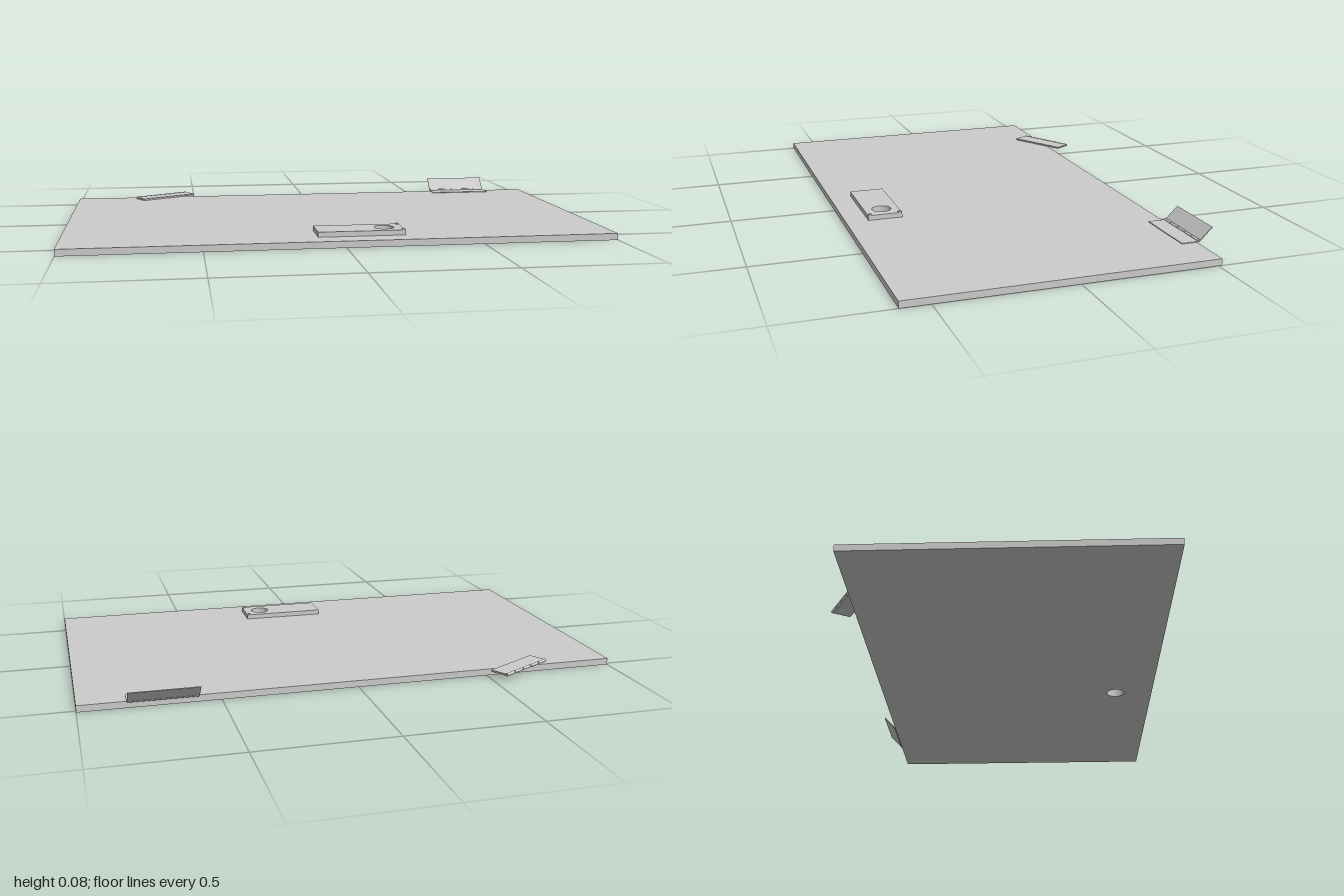
import * as THREE from 'three';

const material = new THREE.MeshStandardMaterial({ color: 0xcccccc, side: THREE.DoubleSide });
const TOP = 0.0245; // upper surface of the board
const HOLE = { x: 0.163, z: 0.456, r: 0.036 };

function add(parent, name, geometry, x = 0, y = 0, z = 0) {
  const mesh = new THREE.Mesh(geometry, material);
  mesh.name = name;
  mesh.position.set(x, y, z);
  parent.add(mesh);
  return mesh;
}

// Flat slab lying in xz, with the round hole cut through it
function drilledSlab(x0, x1, z0, z1, thickness) {
  const shape = new THREE.Shape();
  shape.moveTo(x0, -z1).lineTo(x1, -z1).lineTo(x1, -z0).lineTo(x0, -z0).closePath();
  shape.holes.push(new THREE.Path().absarc(HOLE.x, -HOLE.z, HOLE.r, 0, Math.PI * 2, true));
  return new THREE.ExtrudeGeometry(shape, { depth: thickness, bevelEnabled: false, curveSegments: 24 })
    .rotateX(-Math.PI / 2);
}

// Butt hinge: pin along x, fixed leaf towards +z, moving leaf opened by an angle
function createHinge(name, openAngle) {
  const hinge = new THREE.Group();
  hinge.name = name;
  const length = 0.25, width = 0.068, thick = 0.003, radius = 0.0055;
  add(hinge, 'fixedLeaf', new THREE.BoxGeometry(length, thick, width), 0, -0.002, width / 2);

  const moving = new THREE.Group();
  moving.name = 'movingLeafPivot';
  moving.rotation.x = -openAngle;
  hinge.add(moving);
  add(moving, 'movingLeaf', new THREE.BoxGeometry(length, thick, width), 0, 0.002, width / 2);

  // Alternating knuckles around the pin
  const count = 5, pitch = length / count;
  for (let i = 0; i < count; i++) {
    const knuckle = new THREE.CylinderGeometry(radius, radius, pitch - 0.004, 16).rotateZ(Math.PI / 2);
    add(i % 2 ? moving : hinge, 'knuckle', knuckle, (i - (count - 1) / 2) * pitch, 0, 0);
  }
  add(hinge, 'pin', new THREE.CylinderGeometry(0.003, 0.003, length, 12).rotateZ(Math.PI / 2));
  return hinge;
}

export function createModel() {
  const model = new THREE.Group();
  model.name = 'hatchPanel';

  // Board and the raised latch plate share one through hole
  add(model, 'board', drilledSlab(-1, 1, -0.514, 0.605, TOP));
  add(model, 'latchPlate', drilledSlab(-0.09, 0.23, 0.392, 0.522, 0.0185), 0, TOP, 0);

  // Small studs at the corners of the plate
  for (const z of [0.4, 0.514]) {
    add(model, 'stud', new THREE.CylinderGeometry(0.007, 0.007, 0.004, 16), 0.222, TOP + 0.02, z);
  }

  // Hinge on the left, opened upwards past the back edge
  const openHinge = createHinge('openHinge', THREE.MathUtils.degToRad(135));
  openHinge.position.set(0.705, TOP + 0.0035, -0.523);
  model.add(openHinge);

  // Folded hinge on the right, lying askew over the back edge
  const foldedHinge = createHinge('foldedHinge', 0);
  foldedHinge.position.set(-0.645, TOP + 0.0035, -0.542);
  foldedHinge.rotation.y = Math.PI / 6;
  model.add(foldedHinge);

  return model;
}
